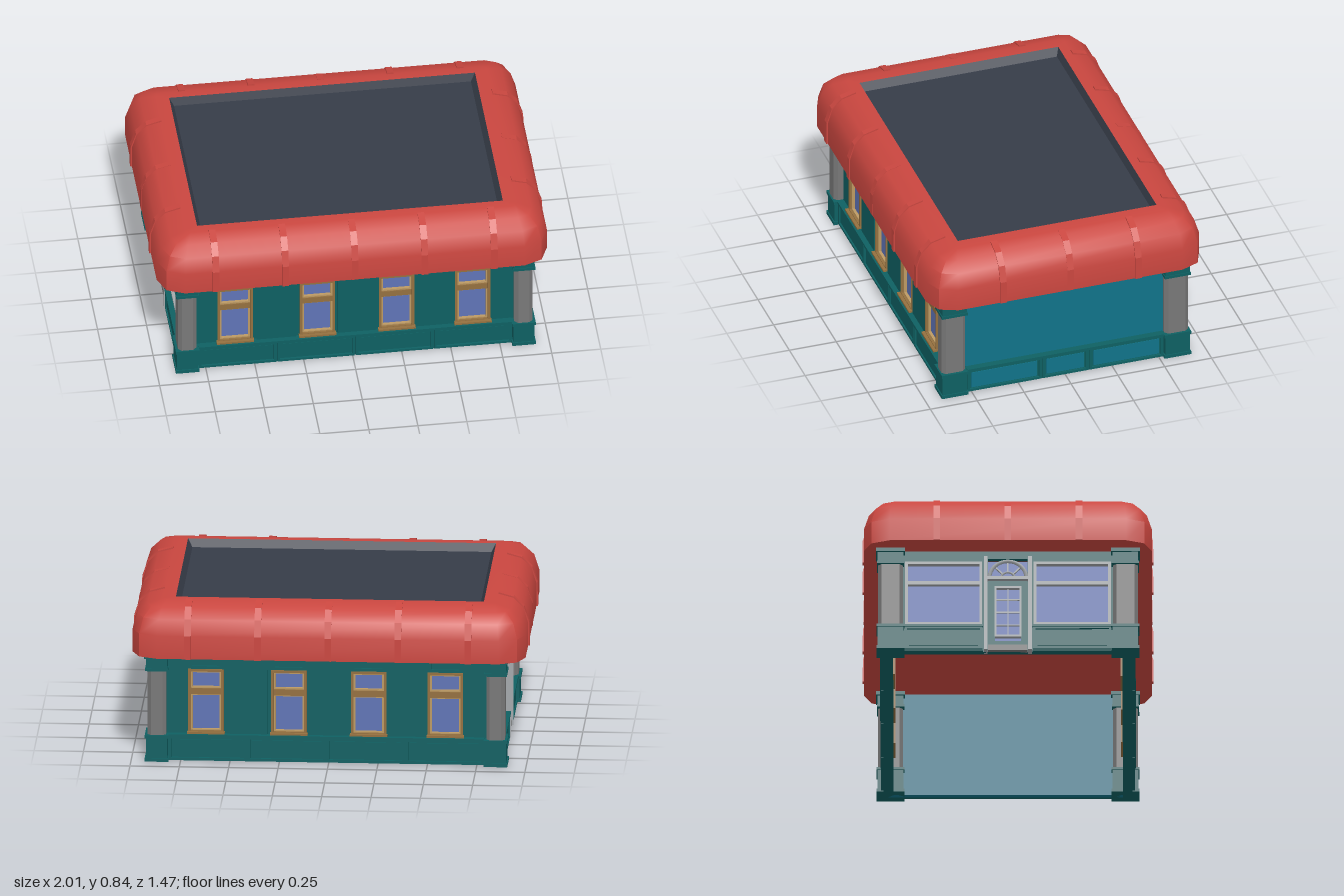
import * as THREE from 'three';
import { toCreasedNormals } from 'three/addons/utils/BufferGeometryUtils.js';

const mat = (name, color, side = THREE.FrontSide) => {
  const m = new THREE.MeshStandardMaterial({ color, side });
  m.name = name;
  return m;
};

export function createModel() {
  const red = mat('roof red', 0xc9463f, THREE.DoubleSide);
  const slate = mat('roof slate', 0x363c48, THREE.DoubleSide);
  const teal = mat('dark teal', 0x0e6062);
  const blue = mat('wall blue', 0x107389);
  const stone = mat('column grey', 0x787878);
  const wood = mat('window wood', 0x94703f);
  const tan = mat('sash tan', 0xbd9a63);
  const glass = mat('window glass', 0x6074b6);
  const pale = mat('shopfront grey', 0xa4a9ac);

  const model = new THREE.Group();
  const add = (parent, name, geo, material, x = 0, y = 0, z = 0) => {
    const m = new THREE.Mesh(geo, material);
    m.name = name;
    m.position.set(x, y, z);
    parent.add(m);
    return m;
  };
  const box = (parent, name, w, h, d, material, x, y, z) =>
    add(parent, name, new THREE.BoxGeometry(w, h, d), material, x, y, z);
  const rect = (T, x0, y0, x1, y1) => {
    const s = new T();
    s.moveTo(x0, y0); s.lineTo(x1, y0); s.lineTo(x1, y1); s.lineTo(x0, y1); s.closePath();
    return s;
  };
  const extrude = (shape, depth) => new THREE.ExtrudeGeometry(shape, { depth, bevelEnabled: false });
  // Rectangular frame with its back at z
  const frame = (parent, name, x, y, w, h, t, d, material, z) => {
    const s = rect(THREE.Shape, -w / 2, -h / 2, w / 2, h / 2);
    s.holes.push(rect(THREE.Path, -w / 2 + t, -h / 2 + t, w / 2 - t, h / 2 - t));
    return add(parent, name, extrude(s, d), material, x, y, z);
  };

  // Rounded-rectangle rings [halfX, halfZ, y, cornerRadius] joined into a skin
  const loft = (rings) => {
    const pos = [], idx = [], n = 12;
    for (const [hx, hz, y, r] of rings)
      for (let c = 0; c < 4; c++)
        for (let k = 0; k < 3; k++) {
          const a = c * Math.PI / 2 + k * Math.PI / 4;
          const sx = c === 0 || c === 3 ? 1 : -1, sz = c < 2 ? -1 : 1;
          pos.push(sx * (hx - r) + r * Math.cos(a), y, sz * (hz - r) - r * Math.sin(a));
        }
    for (let i = 0; i < rings.length - 1; i++)
      for (let j = 0; j < n; j++) {
        const a = i * n + j, b = i * n + (j + 1) % n;
        idx.push(a, b, b + n, a, b + n, a + n);
      }
    const g = new THREE.BufferGeometry();
    g.setAttribute('position', new THREE.Float32BufferAttribute(pos, 3));
    g.setIndex(idx);
    return toCreasedNormals(g, 0.75);
  };

  // Roof: curved skirt, closed underside and sunken slate deck
  const profile = [[0, 0.56], [0, 0.68], [0.025, 0.76], [0.075, 0.81], [0.15, 0.83]];
  const roof = new THREE.Group();
  roof.name = 'roof';
  model.add(roof);
  add(roof, 'roofShell', loft([
    [0.001, 0.001, 0.56, 0],
    ...profile.map(([d, y]) => [0.995 - d, 0.728 - d, y, Math.max(0.13 - d * 0.7, 0.01)]),
    [0.78, 0.53, 0.832, 0.001],
  ]), red);
  add(roof, 'roofDeck', loft([[0.78, 0.53, 0.832, 0], [0.757, 0.515, 0.79, 0], [0.001, 0.001, 0.79, 0]]), slate);

  // Ribs following the roof curve
  const rib = (angle, reach, along, bump) => {
    const s = new THREE.Shape();
    profile.forEach(([d, y], i) => {
      const k = i / 4;
      const x = -d + bump * (1 - k), h = y + bump * k;
      i ? s.lineTo(x, h) : s.moveTo(x, h);
    });
    s.lineTo(-0.15, 0.8); s.lineTo(-0.05, 0.7); s.lineTo(-0.03, 0.56);
    s.closePath();
    const g = extrude(s, 0.034);
    g.translate(reach, 0, along - 0.017);
    g.rotateY(angle);
    add(roof, 'roofRib', g, red);
  };
  for (const turn of [0, Math.PI]) {
    for (const p of [-0.71, -0.355, 0, 0.355, 0.71]) rib(turn - Math.PI / 2, 0.728, p, p ? 0.008 : 0.002);
    for (const p of [-0.36, 0, 0.36]) rib(turn, 0.995, p, p ? 0.008 : 0.002);
  }

  const building = new THREE.Group();
  building.name = 'building';
  building.position.x = 0.0125;
  model.add(building);

  // Wall side, built facing +z with its outer face at local z = 0
  const side = (name, angle, dist) => {
    const g = new THREE.Group();
    g.name = name;
    g.rotation.y = angle;
    g.position.set(Math.sin(angle) * dist, 0, Math.cos(angle) * dist);
    building.add(g);
    return g;
  };
  const wall = (g, half, holes, material) => {
    const s = rect(THREE.Shape, -half, 0, half, 0.56);
    for (const h of holes) s.holes.push(rect(THREE.Path, ...h));
    add(g, 'wall', extrude(s, 0.03), material, 0, 0, -0.03);
  };
  // Base course with framed panels
  const basePanel = (g, x0, x1, material) => {
    const w = x1 - x0, x = (x0 + x1) / 2;
    box(g, 'basePanelBack', w, 0.13, 0.02, teal, x, 0.065, 0.01);
    frame(g, 'basePanelFrame', x, 0.068, w - 0.006, 0.124, 0.012, 0.012, teal, 0.02);
    box(g, 'basePanel', w - 0.05, 0.088, 0.006, material, x, 0.068, 0.023);
    box(g, 'baseLedge', w, 0.012, 0.036, teal, x, 0.134, 0.018);
  };

  // Front and back: four sash windows each
  const windowXs = [-0.61, -0.19, 0.214, 0.602];
  for (const [name, angle] of [['frontSide', 0], ['backSide', Math.PI]]) {
    const g = side(name, angle, 0.61);
    wall(g, 0.87, windowXs.map(x => [x - 0.088, 0.145, x + 0.088, 0.475]), teal);
    box(g, 'frieze', 1.6, 0.08, 0.012, teal, 0, 0.52, 0.006);
    for (const x of windowXs) {
      frame(g, 'windowFrame', x, 0.31, 0.18, 0.336, 0.013, 0.05, wood, -0.04);
      box(g, 'windowTransom', 0.16, 0.032, 0.04, wood, x, 0.36, -0.016);
      frame(g, 'lowerSash', x, 0.25, 0.154, 0.196, 0.009, 0.03, tan, -0.032);
      frame(g, 'upperSash', x, 0.421, 0.154, 0.092, 0.009, 0.03, tan, -0.032);
      box(g, 'windowGlass', 0.16, 0.32, 0.006, glass, x, 0.31, -0.02);
      box(g, 'windowSill', 0.19, 0.01, 0.03, wood, x, 0.146, 0.012);
      frame(g, 'plaqueFrame', x, 0.516, 0.155, 0.05, 0.007, 0.012, teal, 0.012);
    }
    // Shallow piers between the windows
    for (const x of [-0.4, 0.012, 0.408]) box(g, 'wallPier', 0.2, 0.34, 0.008, teal, x, 0.31, 0.004);
    for (let i = 0; i < 4; i++) basePanel(g, -0.8 + i * 0.4, -0.4 + i * 0.4, teal);
  }

  // Plain side wall
  const plain = side('plainSide', Math.PI / 2, 0.87);
  wall(plain, 0.61, [], blue);
  for (const [a, b] of [[-0.525, -0.125], [-0.125, 0.125], [0.125, 0.525]]) basePanel(plain, a, b, blue);

  // Shopfront side: two wide windows and a central door
  const shop = side('shopSide', -Math.PI / 2, 0.87);
  wall(shop, 0.61, [[-0.52, 0.15, -0.13, 0.5], [-0.1, 0.001, 0.1, 0.52], [0.13, 0.15, 0.52, 0.5]], teal);
  for (const s of [-1, 1]) {
    const x = s * 0.325;
    frame(shop, 'shopWindowFrame', x, 0.325, 0.39, 0.35, 0.014, 0.045, pale, -0.035);
    box(shop, 'shopTransom', 0.38, 0.02, 0.04, pale, x, 0.385, -0.015);
    box(shop, 'shopGlass', 0.38, 0.34, 0.006, glass, x, 0.325, -0.02);
    basePanel(shop, x - 0.2, x + 0.2, teal);
    box(shop, 'doorPost', 0.02, 0.52, 0.06, pale, s * 0.112, 0.26, 0.005);
  }
  box(shop, 'doorStep', 0.2, 0.03, 0.05, stone, 0, 0.015, 0);
  frame(shop, 'door', 0, 0.21, 0.2, 0.37, 0.035, 0.03, teal, -0.025);
  frame(shop, 'doorTrim', 0, 0.225, 0.136, 0.28, 0.01, 0.034, pale, -0.027);
  box(shop, 'doorGlass', 0.2, 0.5, 0.006, glass, 0, 0.26, -0.02);
  for (const y of [0.155, 0.225, 0.295]) box(shop, 'doorBar', 0.12, 0.006, 0.016, pale, 0, y, -0.014);
  box(shop, 'doorBarUpright', 0.006, 0.27, 0.016, pale, 0, 0.225, -0.014);
  box(shop, 'doorHeader', 0.21, 0.018, 0.05, pale, 0, 0.404, 0);
  add(shop, 'fanlightArch', new THREE.TorusGeometry(0.094, 0.01, 6, 16, Math.PI), pale, 0, 0.412, 0);
  add(shop, 'fanlightHub', new THREE.TorusGeometry(0.035, 0.006, 6, 12, Math.PI), pale, 0, 0.412, -0.005);
  for (let i = 1; i < 4; i++) {
    const a = i * Math.PI / 4;
    box(shop, 'fanlightSpoke', 0.06, 0.007, 0.014, pale, 0.063 * Math.cos(a), 0.412 + 0.063 * Math.sin(a), -0.01)
      .rotation.z = a;
  }

  // Corner piers: stepped base, chamfered column and capital
  const c = 0.018, hx = 0.047, hz = 0.063;
  const column = new THREE.Shape([[hx, -hz + c], [hx, hz - c], [hx - c, hz], [c - hx, hz],
    [-hx, hz - c], [-hx, c - hz], [c - hx, -hz], [hx - c, -hz]].map(p => new THREE.Vector2(...p)));
  for (const sx of [-1, 1])
    for (const sz of [-1, 1]) {
      const g = new THREE.Group();
      g.name = 'cornerPier';
      g.position.set(sx * 0.858, 0, sz * 0.594);
      building.add(g);
      add(g, 'column', extrude(column, 0.36).rotateX(-Math.PI / 2), stone, 0, 0.13, 0);
      for (const [name, y0, y1, grow] of [['pierFoot', 0, 0.018, 0.006], ['pierBase', 0.018, 0.122, 0],
        ['pierBaseCap', 0.122, 0.138, 0.006], ['capitalCollar', 0.475, 0.49, 0.004],
        ['capital', 0.49, 0.54, 0], ['capitalTop', 0.54, 0.56, 0.008]])
        box(g, name, 0.108 + grow * 2, y1 - y0, 0.13 + grow * 2, teal, 0, (y0 + y1) / 2, 0);
    }
  return model;
}
